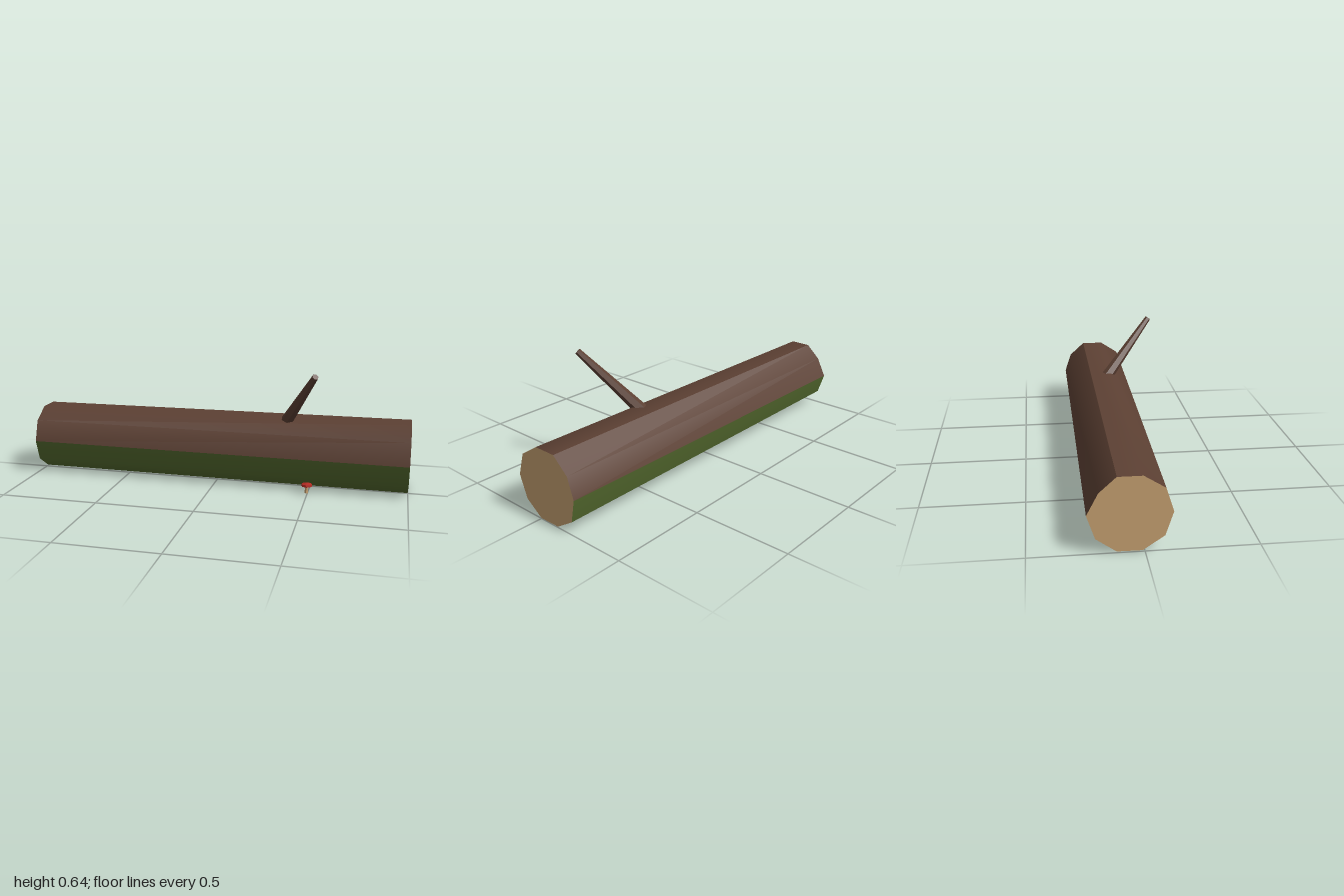
import * as THREE from 'three';

const material = (name, color) => {
  const m = new THREE.MeshStandardMaterial({ color });
  m.name = name;
  return m;
};

// Faceted copy of a geometry
function faceted(geometry) {
  const g = geometry.toNonIndexed();
  g.computeVertexNormals();
  return g;
}

function surface(points, index) {
  const g = new THREE.BufferGeometry();
  g.setAttribute('position', new THREE.Float32BufferAttribute(points.flat(), 3));
  g.setIndex(index);
  g.computeVertexNormals();
  return g;
}

// Uneven ten-sided log ends as [z, y], from the front edge up and over the back
const leftEnd = [[0.12, 0.18], [0.085, 0.29], [-0.01, 0.35], [-0.12, 0.35], [-0.196, 0.28],
  [-0.247, 0.18], [-0.21, 0.07], [-0.12, 0.006], [-0.01, 0.005], [0.085, 0.07]];
const rightEnd = [[0.135, 0.18], [0.1, 0.295], [0, 0.36], [-0.117, 0.36], [-0.2, 0.285],
  [-0.235, 0.18], [-0.212, 0.066], [-0.115, 0.004], [0, 0.002], [0.093, 0.068]];
const SIDES = leftEnd.length;

// Smooth strip of bark covering the sides from one corner to another
function barkStrip(from, to) {
  const points = [], index = [];
  for (let i = from; i <= to; i++) {
    const [lz, ly] = leftEnd[i % SIDES], [rz, ry] = rightEnd[i % SIDES];
    points.push([-1, ly, lz], [1, ry, rz]);
    if (i < to) {
      const k = (i - from) * 2;
      index.push(k, k + 1, k + 3, k, k + 3, k + 2);
    }
  }
  return surface(points, index);
}

// Flat sawn end of the log
function sawnEnd(x, ring) {
  const points = [[x, 0.18, -0.06], ...ring.map(([z, y]) => [x, y, z])];
  const index = [];
  for (let i = 0; i < SIDES; i++) {
    const a = 1 + i, b = 1 + (i + 1) % SIDES;
    index.push(0, ...(x > 0 ? [b, a] : [a, b]));
  }
  return surface(points, index);
}

export function createModel() {
  const bark = material('bark', 0x5c4033);
  const moss = material('moss', 0x556b2f);
  const wood = material('cut wood', 0xc8a272);
  const red = material('mushroom red', 0xb22a22);

  const model = new THREE.Group();
  model.name = 'fallenLog';
  const add = (name, geometry, mat, parent = model) => {
    const mesh = new THREE.Mesh(geometry, mat);
    mesh.name = name;
    parent.add(mesh);
    return mesh;
  };

  // Log: brown above, mossy below, split where the edges are sharp
  add('barkTop', barkStrip(0, 3), bark);
  add('barkBack', barkStrip(3, 5), bark);
  add('mossBack', barkStrip(5, 6), moss);
  add('mossUnderside', barkStrip(6, 10), moss);
  add('leftCutEnd', sawnEnd(-1, leftEnd), wood);
  add('rightCutEnd', sawnEnd(1, rightEnd), wood);

  // Broken branch leaning forward from the top
  const base = new THREE.Vector3(0.345, 0.305, -0.05);
  const tip = new THREE.Vector3(0.535, 0.628, 0.234);
  const along = tip.clone().sub(base);
  const branch = add('branch',
    faceted(new THREE.CylinderGeometry(0.016, 0.035, along.length(), 6)), bark);
  branch.position.copy(base).add(tip).multiplyScalar(0.5);
  branch.quaternion.setFromUnitVectors(new THREE.Vector3(0, 1, 0), along.normalize());

  // Small mushroom beside the log
  const mushroom = new THREE.Group();
  mushroom.name = 'mushroom';
  mushroom.position.set(0.495, 0, 0.11);
  model.add(mushroom);
  const stem = add('mushroomStem',
    faceted(new THREE.CylinderGeometry(0.009, 0.01, 0.036, 6)), wood, mushroom);
  stem.position.y = 0.018;
  const capProfile = [[0, 0.033], [0.018, 0.033], [0.028, 0.037], [0.026, 0.048], [0, 0.056]]
    .map(([r, y]) => new THREE.Vector2(r, y));
  add('mushroomCap', faceted(new THREE.LatheGeometry(capProfile, 8)), red, mushroom);

  return model;
}
